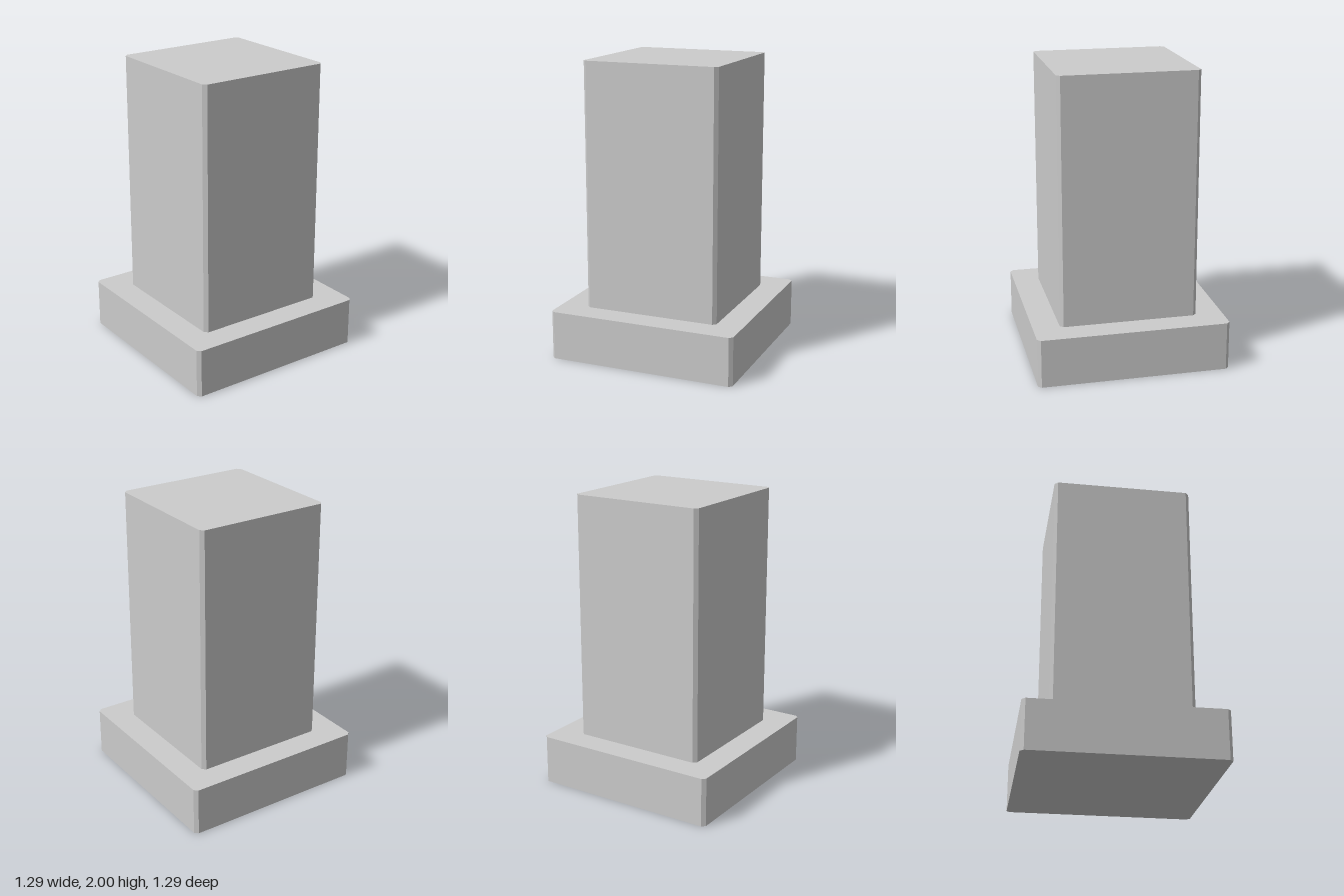
import * as THREE from 'three';

const material = new THREE.MeshStandardMaterial({ color: 0xcccccc, flatShading: true });

// Upright square block with chamfered vertical corners
function chamferedBlock(name, half, chamfer, bottom, top) {
  const inner = half - chamfer;
  const outline = new THREE.Shape([
    [inner, -half], [half, -inner], [half, inner], [inner, half],
    [-inner, half], [-half, inner], [-half, -inner], [-inner, -half],
  ].map(([x, y]) => new THREE.Vector2(x, y)));
  const geometry = new THREE.ExtrudeGeometry(outline, { depth: top - bottom, bevelEnabled: false });
  geometry.rotateX(-Math.PI / 2).translate(0, bottom, 0);
  const mesh = new THREE.Mesh(geometry, material);
  mesh.name = name;
  return mesh;
}

export function createModel() {
  const model = new THREE.Group();
  model.name = 'pedestal';
  model.add(
    chamferedBlock('base', 0.647, 0.023, 0, 0.33),
    chamferedBlock('shaft', 0.466, 0.023, 0.33, 2),
  );
  return model;
}
